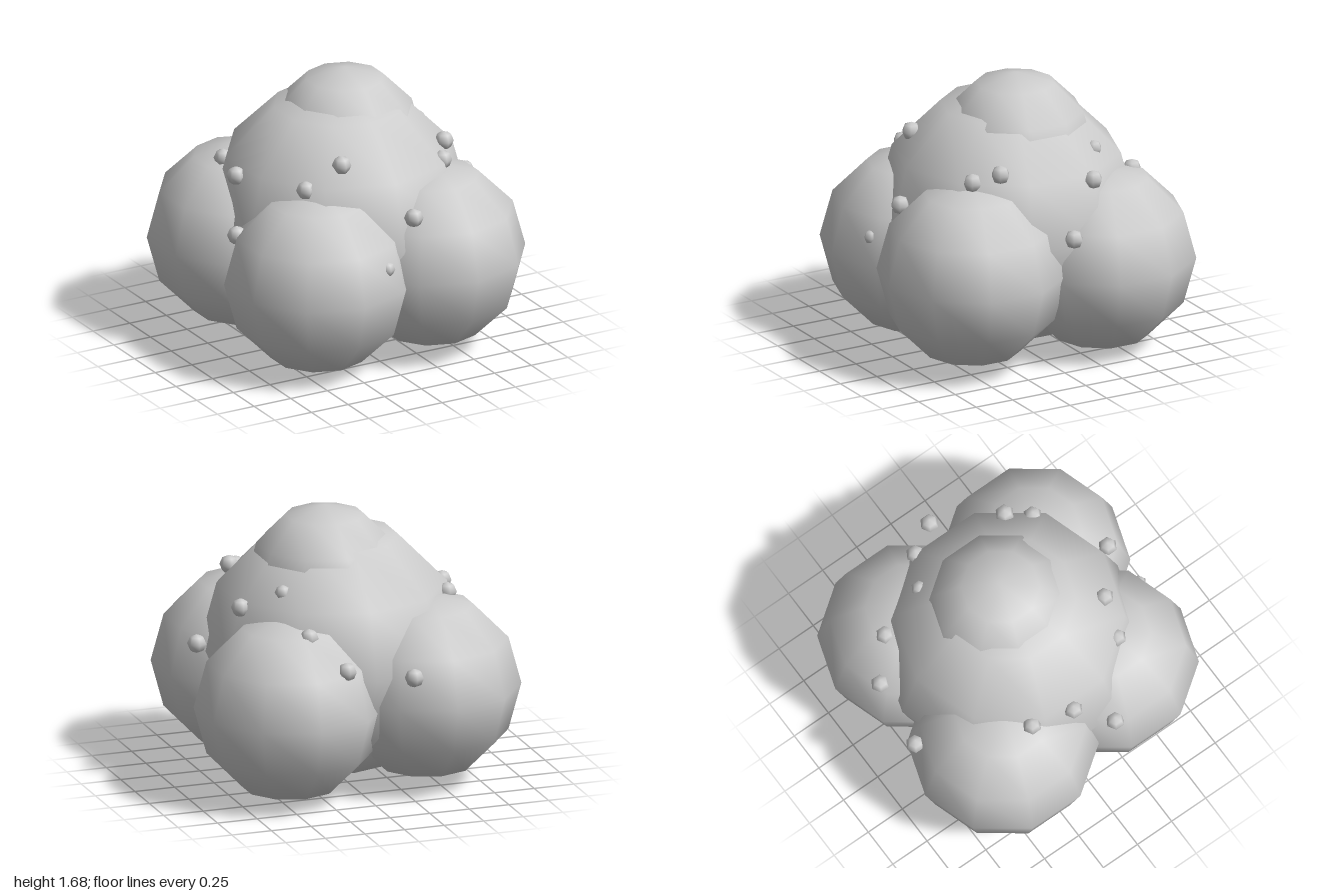
import * as THREE from 'three';

export function createModel() {
  const model = new THREE.Group();
  model.name = 'lobedMound';
  const grey = new THREE.MeshStandardMaterial({ color: 0xcccccc });
  grey.name = 'light grey';

  // Coarse spheres with one meridian facing front
  const unitBall = (segments, rings) =>
    new THREE.SphereGeometry(1, segments, rings).rotateY(Math.PI / 2);
  const coarse = unitBall(10, 6);
  const tiny = unitBall(6, 4);

  function ball(name, geometry, x, y, z, r, parent = model) {
    const mesh = new THREE.Mesh(geometry, grey);
    mesh.name = name;
    mesh.position.set(x, y, z);
    mesh.scale.setScalar(r);
    parent.add(mesh);
  }

  // Central mass and the cap on top of it
  ball('body', coarse, 0.015, 0.79, -0.02, 0.79);
  ball('topCap', coarse, 0.07, 1.21, -0.05, 0.47);

  // Four lobes around the base
  ball('frontLeftLobe', coarse, 0.39, 0.605, 0.43, 0.57);
  ball('frontRightLobe', coarse, -0.36, 0.57, 0.39, 0.57);
  ball('backLeftLobe', coarse, 0.43, 0.57, -0.43, 0.57);
  ball('backRightLobe', coarse, -0.44, 0.61, -0.4, 0.57);

  // Small bumps scattered over the surface
  const bumps = new THREE.Group();
  bumps.name = 'bumps';
  model.add(bumps);
  [
    [0.86, 0.88, 0], [0.54, 1.245, 0.32], [0.09, 0.99, 0.75],
    [-0.25, 1.3, 0.48], [-0.13, 0.73, 0.82, 0.047], [-0.46, 1.16, 0.42],
    [0.45, 1.19, 0.46], [0.67, 1.155, -0.24], [0.39, 1.06, -0.665],
    [0.45, 1.26, -0.37, 0.05], [0.21, 0.88, -0.83], [-0.2, 0.81, -0.87],
    [-0.61, 1.14, -0.31], [-0.67, 1.13, -0.05], [-0.79, 0.85, 0.17],
  ].forEach(([x, y, z, r = 0.058]) => ball('bump', tiny, x, y, z, r, bumps));

  return model;
}
